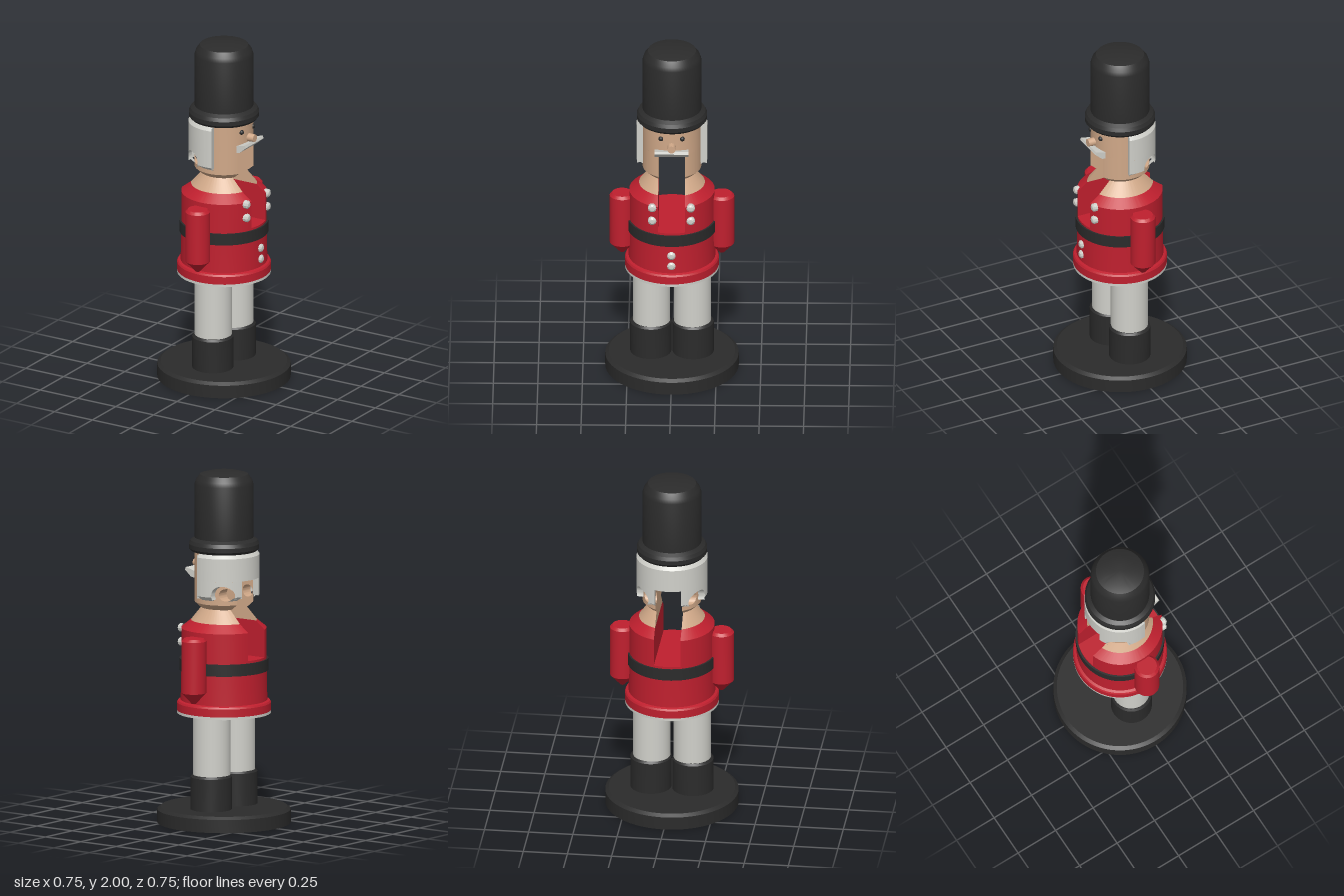
import * as THREE from 'three';
import { toCreasedNormals } from 'three/addons/utils/BufferGeometryUtils.js';

const paint = (name, color, side = THREE.FrontSide) => {
  const m = new THREE.MeshStandardMaterial({ color, side });
  m.name = name;
  return m;
};

const SLOT = 0.075;                         // half width of the mouth slot
const PIVOT = { x: -0.11, y: 1.32 };        // axis of the lever pin hole
const HAIR_END = 0.2;                       // angle where the hair stops

export function createModel() {
  const black = paint('black', 0x2b2b2b);
  const red = paint('red', 0xbf1f2e);
  const white = paint('white', 0xd0d0ca, THREE.DoubleSide);
  const skin = paint('skin', 0xd0a888, THREE.DoubleSide);

  const model = new THREE.Group();
  const add = (parent, name, geometry, material, x = 0, y = 0, z = 0) => {
    const mesh = new THREE.Mesh(geometry, material);
    mesh.name = name;
    mesh.position.set(x, y, z);
    parent.add(mesh);
    return mesh;
  };
  const lathe = (points, start = 0, length = Math.PI * 2, segments = 64) =>
    toCreasedNormals(new THREE.LatheGeometry(
      points.map(([r, y]) => new THREE.Vector2(r, y)), segments, start, length), 0.4);

  const fromPoints = (points) => {
    const g = new THREE.BufferGeometry();
    g.setAttribute('position', new THREE.Float32BufferAttribute(points.flat(), 3));
    g.computeVertexNormals();
    return toCreasedNormals(g, 0.4);
  };
  const quad = (out, a, b, c, d) => out.push(a, b, c, a, c, d);

  // Turned surface lying beyond the slot wall, with an optional round hole along z
  const slottedShell = (profile, holeRadius = 0, endAngle = Math.PI) => {
    const out = [], N = 72;
    for (let k = 0; k < profile.length - 1; k++) {
      const [r0, y0] = profile[k], [r1, y1] = profile[k + 1];
      const at = (t, y) => {
        const r = r0 + (r1 - r0) * (y - y0) / (y1 - y0);
        const a = Math.acos(SLOT / r);
        const th = -a + (Math.min(a, endAngle) + a) * t;
        return [r * Math.sin(th), y, r * Math.cos(th)];
      };
      const gap = (t) => {
        const dx = at(t, y1)[0] - PIVOT.x;
        const h = Math.sqrt(Math.max(0, holeRadius ** 2 - dx * dx));
        return [-h, h].map((d) => Math.min(y1, Math.max(y0, PIVOT.y + d)));
      };
      for (let i = 0; i < N; i++) {
        const t = i / N, u = (i + 1) / N;
        const [la, ha] = gap(t), [lb, hb] = gap(u);
        if (la > y0 || lb > y0) quad(out, at(t, y0), at(u, y0), at(u, lb), at(t, la));
        if (ha < y1 || hb < y1) quad(out, at(t, ha), at(u, hb), at(u, y1), at(t, y1));
      }
    }
    return fromPoints(out);
  };

  // Flat side of the slot, facing the middle
  const slotWall = (profile, holeRadius = 0) => {
    const edge = profile.map(([r, y]) => [Math.sqrt(r * r - SLOT * SLOT), y]);
    const shape = new THREE.Shape([
      ...edge.map(([x, y]) => new THREE.Vector2(x, y)),
      ...edge.slice().reverse().map(([x, y]) => new THREE.Vector2(-x, y)),
    ]);
    if (holeRadius) {
      shape.holes.push(new THREE.Path().absarc(-PIVOT.x, PIVOT.y, holeRadius, 0, Math.PI * 2, true));
    }
    return new THREE.ShapeGeometry(shape, 16).rotateY(Math.PI).translate(0, 0, SLOT);
  };

  // Inside of a hole along z, running between two depths
  const bore = (radius, inner, outer, minY = 0) => {
    const out = [], N = 40;
    const at = (i, r) => {
      const a = i / N * Math.PI * 2;
      const x = PIVOT.x + radius * Math.cos(a);
      const z = r ? Math.sqrt(Math.max(SLOT * SLOT, r * r - x * x)) : SLOT;
      return [x, PIVOT.y + radius * Math.sin(a), z];
    };
    for (let i = 0; i < N; i++) {
      if (Math.min(at(i, 0)[1], at(i + 1, 0)[1]) < minY) continue;
      quad(out, at(i, inner), at(i, outer), at(i + 1, outer), at(i + 1, inner));
    }
    return fromPoints(out);
  };

  // Base, hat and brim
  add(model, 'base', lathe([[0, 0], [0.375, 0], [0.375, 0.075], [0.355, 0.09], [0, 0.09]], 0, Math.PI * 2, 80), black);
  add(model, 'hatBrim', lathe([[0, 1.55], [0.185, 1.55], [0.198, 1.565], [0.198, 1.59],
    [0.188, 1.61], [0.165, 1.625], [0, 1.625]]), black);
  add(model, 'hat', lathe([[0.165, 1.61], [0.165, 1.93], [0.157, 1.955], [0.135, 1.985], [0.09, 1.997], [0, 2]]), black);

  // Lower coat, hem and belt
  add(model, 'coatHem', lathe([[0, 0.625], [0.264, 0.625], [0.264, 0.64], [0, 0.64]]), white);
  add(model, 'lowerCoat', lathe([[0, 0.64], [0.264, 0.64], [0.264, 0.685], [0.258, 0.695], [0.244, 0.7],
    [0.24, 0.87], [0.24, 0.95], [0, 0.95]]), red);
  add(model, 'belt', lathe([[0.235, 0.87], [0.25, 0.87], [0.25, 0.937], [0.235, 0.937]]), black);

  // Upper head and hair, above the slot
  add(model, 'upperHead', lathe([[0, 1.4], [0.165, 1.4], [0.165, 1.55], [0, 1.55]]), skin);
  add(model, 'upperHair', lathe([[0.16, 1.4], [0.2, 1.4], [0.2, 1.53], [0.185, 1.55], [0.16, 1.55]],
    Math.PI - HAIR_END, Math.PI + 2 * HAIR_END), white);

  // Face
  const lip = new THREE.Shape([[0.14, 1.39], [0.163, 1.395], [0.203, 1.43], [0.197, 1.445], [0.14, 1.43]]
    .map(([x, y]) => new THREE.Vector2(x, y)));
  add(model, 'moustache', new THREE.ExtrudeGeometry(lip, { depth: 0.19, bevelEnabled: false })
    .translate(0, 0, -0.095), white);
  add(model, 'nose', new THREE.CylinderGeometry(0.022, 0.024, 0.055, 20).rotateZ(-Math.PI / 2), skin, 0.177, 1.46);

  // Buttons
  const button = toCreasedNormals(new THREE.LatheGeometry([[0.024, -0.015], [0.024, 0.006], [0.014, 0.014], [0, 0.016]]
    .map(([r, y]) => new THREE.Vector2(r, y)), 10), 0.3).rotateZ(-Math.PI / 2);
  for (const y of [0.81, 0.745]) add(model, 'lowerButton', button, white, 0.242, y, 0);

  // Everything mirrored across the middle
  const torso = [[0.24, 0.95], [0.24, 1.11], [0.185, 1.155]];
  const neck = [[0.185, 1.155], [0.128, 1.228], [0.14, 1.235], [0.165, 1.26]];
  const cheek = [[0.165, 1.26], [0.165, 1.4]];
  for (const s of [1, -1]) {
    const half = new THREE.Group();
    half.name = s > 0 ? 'rightHandSide' : 'leftHandSide';
    half.scale.z = s;
    model.add(half);

    // Slotted chest, neck and jaw
    add(half, 'chest', slottedShell(torso), red);
    add(half, 'chestSlotWall', slotWall(torso), red);
    add(half, 'neck', slottedShell(neck), skin);
    add(half, 'cheek', slottedShell(cheek, 0.035), skin);
    add(half, 'headSlotWall', slotWall([...neck, cheek[1]], 0.035), skin);
    add(half, 'pinHole', bore(0.035, 0, 0.165), skin);

    // Lower hair with a notch around the pin hole
    add(half, 'lowerHair', slottedShell([[0.165, 1.285], [0.2, 1.31], [0.2, 1.4]], 0.055, HAIR_END), white);
    add(half, 'hairNotch', bore(0.055, 0.165, 0.2, 1.29), white);
    add(half, 'hairSlotEdge', new THREE.PlaneGeometry(0.038, 0.1).rotateY(Math.PI), white, -0.166, 1.35, SLOT);
    add(half, 'hairFrontEdge', new THREE.PlaneGeometry(0.036, 0.25).rotateY(Math.PI / 2 + HAIR_END), white,
      0.182 * Math.sin(HAIR_END), 1.42, 0.182 * Math.cos(HAIR_END));

    add(half, 'eye', new THREE.SphereGeometry(0.014, 16, 10), black, 0.153, 1.505, 0.06);
    for (const y of [1.1, 1.02]) add(half, 'chestButton', button, white, 0.22, y, 0.108);

    // Arm, leg and boot
    add(half, 'arm', lathe([[0, 0.71], [0.012, 0.712], [0.07, 0.775], [0.07, 1.07], [0.056, 1.085], [0, 1.085]],
      0, Math.PI * 2, 40), red, 0, 0, 0.28);
    add(half, 'leg', new THREE.CylinderGeometry(0.105, 0.105, 0.36, 40), white, 0, 0.455, 0.115);
    add(half, 'boot', lathe([[0.116, 0.085], [0.116, 0.275], [0.106, 0.287], [0, 0.287]],
      0, Math.PI * 2, 40), black, 0, 0, 0.119);
  }
  return model;
}
